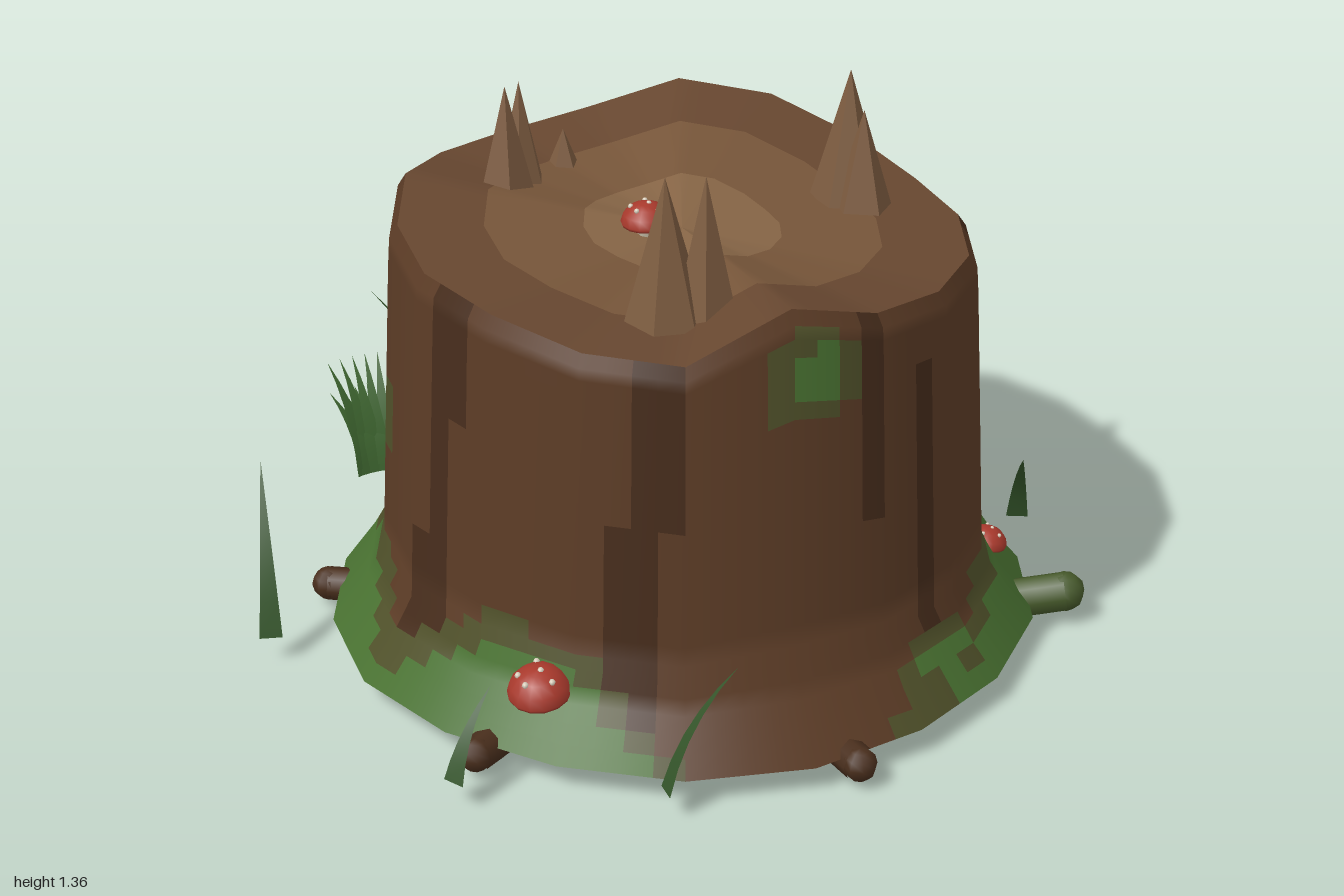
import * as THREE from 'three';

const CX = 0.05, CZ = 0.08, SIDES = 18, STEP = 4, COLS = SIDES * STEP;
// heights of the broken rim and of the moss skirt, one value per 20 degrees from +x towards +z
const RIM = [1.01, 1.01, 1.02, 1.05, 1.12, 1.0, 1.01, 1.05, 1.07, 1.09, 1.12, 1.08, 1.06, 1.08, 1.14, 1.11, 1.05, 1.01];
const MOSS = [0.27, 0.25, 0.16, 0.1, 0, 0.06, 0.28, 0.3, 0.15, 0.28, 0.25, 0.2, 0.28, 0.33, 0.3, 0.22, 0.4, 0.38];
// moss blobs on the bark: angle, height, half angle, half height
const BLOBS = [[0, 0.55, 12, 0.06], [336, 0.55, 10, 0.06], [76, 0.95, 9, 0.1], [185, 0.62, 10, 0.08], [48, 0.15, 8, 0.06]];
// trunk radius by fraction of height
const PROFILE = [[0, 0.855], [0.08, 0.79], [0.19, 0.725], [0.5, 0.71], [0.9, 0.69], [0.97, 0.685], [1, 0.665]];

const mat = (color, extra = {}) => new THREE.MeshStandardMaterial({ color, ...extra });
const V = (x, y, z) => new THREE.Vector3(x, y, z);

function add(parent, name, geometry, material) {
  const mesh = new THREE.Mesh(geometry, material);
  mesh.name = name;
  parent.add(mesh);
  return mesh;
}

function ringValue(table, col) {
  const i = Math.floor(col / STEP), t = (col % STEP) / STEP;
  return THREE.MathUtils.lerp(table[i % SIDES], table[(i + 1) % SIDES], t);
}

function radiusAt(t) {
  let i = 0;
  while (i < PROFILE.length - 2 && t > PROFILE[i + 1][0]) i++;
  const [a, ra] = PROFILE[i], [b, rb] = PROFILE[i + 1];
  return ra + (rb - ra) * (t - a) / (b - a);
}

// point on the many-sided trunk
function trunkPoint(col, t) {
  const corner = (i) => {
    const a = i / SIDES * Math.PI * 2, r = radiusAt(t) * (1 + 0.01 * Math.sin(5 * a));
    return V(CX + r * Math.cos(a), 0, CZ + r * Math.sin(a));
  };
  const i = Math.floor(col / STEP);
  const p = corner(i).lerp(corner(i + 1), (col % STEP) / STEP);
  p.y = 0.06 + t * (ringValue(RIM, col) - 0.06);
  return p;
}

// 0 dark bark, 1 bark, 2 mossy bark, 3 moss
function tone(col, y) {
  const deg = col / COLS * 360;
  let s = (ringValue(MOSS, col % COLS) - y) * 8;
  for (const [a, h, da, dh] of BLOBS) {
    const d = Math.abs(((deg - a + 540) % 360) - 180);
    s = Math.max(s, 1.1 - Math.hypot(d / da, (y - h) / dh));
  }
  if (s > 0.4) return 3;
  if (s > -0.1) return 2;
  const streak = Math.sin(deg * 0.1222 + 1.2) + 0.6 * Math.sin(deg * 0.2967 + y * 1.5);
  return streak > 0.85 ? 0 : 1;
}

function buildTrunk(group) {
  const rows = [0, 0.04, 0.08, 0.12, 0.155, 0.19, 0.23, 0.28, 0.33, 0.38, 0.42, 0.46, 0.5, 0.54, 0.58, 0.63, 0.7, 0.76, 0.8, 0.85, 0.9, 0.94, 0.97, 1];
  const pos = [], nor = [], faces = [[], [], [], []];
  rows.forEach((t, j) => {
    for (let c = 0; c <= COLS; c++) {
      const p = trunkPoint(c, t), a = c / COLS * Math.PI * 2;
      const n = V(Math.cos(a), t < 0.15 ? 0.6 : t < 0.25 ? 0.3 : t > 0.96 ? 0.4 : 0.05, Math.sin(a)).normalize();
      pos.push(p.x, p.y, p.z);
      nor.push(n.x, n.y, n.z);
      if (j < rows.length - 1 && c < COLS) {
        const i = j * (COLS + 1) + c, up = i + COLS + 1;
        faces[tone(c + 0.5, p.y + 0.02)].push(i, up, i + 1, up, up + 1, i + 1);
      }
    }
  });
  const position = new THREE.Float32BufferAttribute(pos, 3), normal = new THREE.Float32BufferAttribute(nor, 3);
  const names = ['darkBark', 'bark', 'mossyBark', 'moss'], colors = [0x472d1c, 0x5c3c26, 0x50512a, 0x4a7332];
  faces.forEach((index, k) => {
    const g = new THREE.BufferGeometry();
    g.setAttribute('position', position);
    g.setAttribute('normal', normal);
    g.setIndex(index);
    add(group, names[k], g, mat(colors[k]));
  });
}

// flat or sloping ring between two scalings of a trunk outline about its centre
function disc(t, centreY, from, to, up) {
  const pos = [], index = [], centre = V(CX, centreY, CZ);
  for (let c = 0; c <= COLS; c++) {
    const edge = trunkPoint(c, t);
    for (const k of [from, to]) pos.push(...centre.clone().lerp(edge, k).toArray());
    if (c < COLS) {
      const i = c * 2;
      if (up) index.push(i, i + 2, i + 3, i, i + 3, i + 1);
      else index.push(i, i + 3, i + 2, i, i + 1, i + 3);
    }
  }
  const g = new THREE.BufferGeometry();
  g.setAttribute('position', new THREE.Float32BufferAttribute(pos, 3));
  g.setIndex(index);
  g.computeVertexNormals();
  return g;
}

// tapering curved blade, its width across the direction it leans
function bladeGeometry(base, tip, width) {
  const curve = new THREE.QuadraticBezierCurve3(base, V(base.x * 0.75 + tip.x * 0.25, base.y * 0.4 + tip.y * 0.6, base.z * 0.75 + tip.z * 0.25), tip);
  const side = V(-(tip.z - base.z), 0, tip.x - base.x).normalize();
  const pos = [], index = [], n = 5;
  for (let i = 0; i <= n; i++) {
    const p = curve.getPoint(i / n), w = width / 2 * (1 - i / n);
    pos.push(...p.clone().addScaledVector(side, w).toArray(), ...p.clone().addScaledVector(side, -w).toArray());
    if (i < n) index.push(2 * i, 2 * i + 1, 2 * i + 2, 2 * i + 1, 2 * i + 3, 2 * i + 2);
  }
  const g = new THREE.BufferGeometry();
  g.setAttribute('position', new THREE.Float32BufferAttribute(pos, 3));
  g.setIndex(index);
  g.computeVertexNormals();
  return g;
}

function mushroom(x, y, z, r, tiltX, tiltZ) {
  const m = new THREE.Group();
  m.name = 'mushroom';
  const cap = [[0, 0], [0.95, 0], [1, 0.12], [0.9, 0.45], [0.6, 0.75], [0.3, 0.87], [0, 0.9]].map(([a, b]) => new THREE.Vector2(a * r, b * r));
  add(m, 'cap', new THREE.LatheGeometry(cap, 14), mat(0xa8392c));
  add(m, 'stem', new THREE.CylinderGeometry(r * 0.3, r * 0.38, r * 0.7, 8), mat(0xb5ad98)).position.y = -r * 0.33;
  for (let i = 0; i < 5; i++) {
    const a = i * 2.4, k = i ? 0.6 : 0.1;
    const dot = add(m, 'capDot', new THREE.SphereGeometry(r * 0.11, 6, 4), mat(0xd8cdbb));
    dot.position.set(Math.cos(a) * r * k, r * (i ? 0.74 : 0.87), Math.sin(a) * r * k);
  }
  m.position.set(x, y, z);
  m.rotation.set(tiltX, 0, tiltZ);
  return m;
}

export function createModel() {
  const group = new THREE.Group();
  group.name = 'treeStump';
  buildTrunk(group);

  // cut top, lighter towards the heart, and the dark underside
  [[0, 0.35, 0x856445], [0.35, 0.7, 0x765539], [0.7, 1, 0x674730]].forEach(([a, b, color]) =>
    add(group, 'cutTop', disc(1, 1.03, a, b, true), mat(color)));
  add(group, 'underside', disc(0, 0.06, 0, 1, false), mat(0x2f1e13));

  // six roots under the flare
  for (let i = 0; i < 6; i++) {
    const a = (13 + i * 60) * Math.PI / 180, end = i === 0 ? 0.94 : 0.87;
    const at = (r, y) => V(CX + r * Math.cos(a), y, CZ + r * Math.sin(a));
    const path = new THREE.CatmullRomCurve3([at(0.42, 0.1), at(0.58, 0.055), at(0.76, 0.045), at(end, i === 0 ? 0.075 : 0.05)]);
    const r = i === 0 ? 0.05 : 0.042;
    add(group, 'root', new THREE.TubeGeometry(path, 8, r, 8), mat(i === 0 ? 0x45582a : 0x4a2f1d));
    const tip = add(group, 'rootTip', new THREE.SphereGeometry(r, 8, 6), mat(i === 0 ? 0x45582a : 0x4a2f1d));
    tip.position.copy(path.getPoint(1));
    tip.scale.setScalar(0.98);
  }

  // splinters left standing on the cut: x, z, base radius, tip height
  [[-0.33, -0.15, 0.085, 1.32], [-0.29, -0.2, 0.075, 1.31], [-0.17, -0.3, 0.06, 1.14], [-0.07, 0.51, 0.1, 1.35],
    [0.02, 0.52, 0.08, 1.35], [0.48, -0.06, 0.1, 1.34], [0.5, 0, 0.08, 1.26]].forEach(([x, z, r, top], i) => {
    const cone = add(group, 'splinter', new THREE.ConeGeometry(r, top - 0.99, 5 + i % 2), mat(0x7d5c40, { flatShading: true }));
    cone.position.set(x, (top + 0.99) / 2, z);
    cone.rotation.y = i * 0.9;
  });

  group.add(mushroom(-0.04, 1.06, 0.11, 0.06, 0, 0));
  group.add(mushroom(-0.39, 0.18, 0.69, 0.075, 0.15, 0.1));
  group.add(mushroom(0.79, 0.17, 0.19, 0.05, 0, -0.2));

  // grass around the foot: base x, z, tip x, z, tip height
  const grass = mat(0x34552a, { side: THREE.DoubleSide });
  [[-0.96, 0.14, -0.95, -0.08, 0.43], [0.96, -0.12, 0.92, 0.04, 0.31], [-0.61, 0.84, -0.51, 0.75, 0.25],
    [-0.15, 0.96, 0.02, 0.93, 0.35], [-0.39, -0.89, -0.59, -0.98, 0.43], [0.07, -0.97, -0.08, -0.965, 0.47],
    [0, -0.88, -0.22, -0.885, 0.42], [0.03, -0.85, -0.16, -0.87, 0.36], [0.49, -0.83, 0.35, -0.77, 0.3],
    [0.5, -0.73, 0.34, -0.66, 0.38]].forEach(([bx, bz, tx, tz, h]) =>
    add(group, 'grassBlade', bladeGeometry(V(bx, 0.06, bz), V(tx, h, tz), 0.055), grass));

  // fern fan on the trunk, in two layers
  const fern = mat(0x3c632e, { side: THREE.DoubleSide });
  for (let layer = 0; layer < 2; layer++) {
    for (let i = 0; i < 9; i++) {
      const t = i / 8, bulge = Math.sin(t * Math.PI) * 0.03;
      const base = V(-0.67 + 0.1 * t, 0.22 + layer * 0.02, -0.35 - 0.02 * t);
      const tip = V(-0.75 + 0.26 * t, 0.48 - layer * 0.07, -0.47 - 0.03 * t - bulge + layer * 0.03);
      add(group, 'fernLeaf', bladeGeometry(base, tip, 0.06), fern);
    }
  }
  return group;
}
